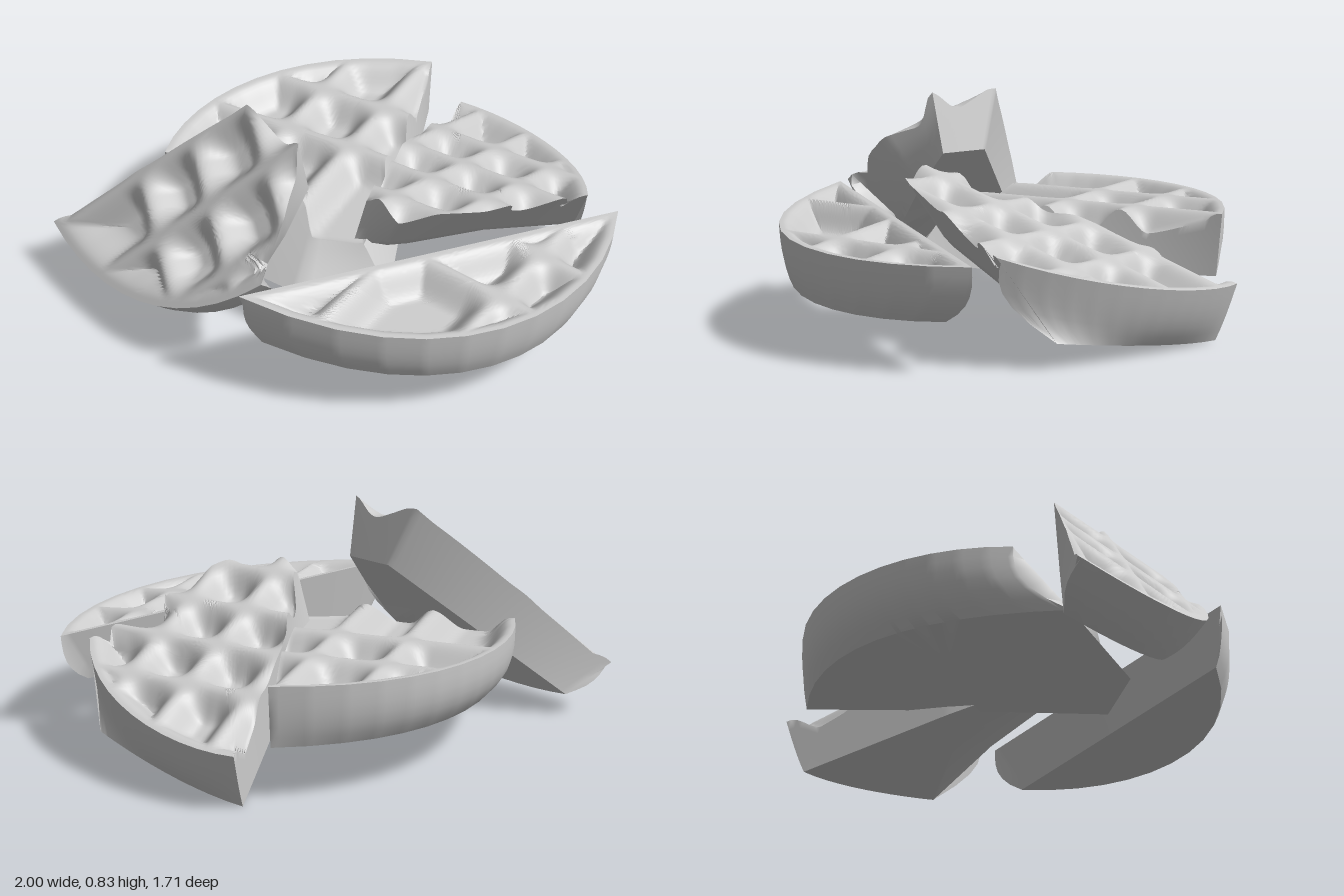
import * as THREE from 'three';
import { toCreasedNormals } from 'three/addons/utils/BufferGeometryUtils.js';

const { smoothstep, lerp, clamp } = THREE.MathUtils;
const material = new THREE.MeshStandardMaterial({ color: 0xcccccc });
const WELL = 0.095; // depth of the cells

function distToSegment(p, a, b) {
  const d = b.clone().sub(a);
  const t = clamp(p.clone().sub(a).dot(d) / d.lengthSq(), 0, 1);
  return p.distanceTo(a.clone().addScaledVector(d, t));
}

// Outline seen from above, clockwise: straight broken edges, then the curved rim.
// breaks: [top x, top z, underside x, underside z]; taper draws the underside of the rim inwards
function makeOutline({ breaks, rim, taper, ledge }, mid) {
  const points = breaks.map(([x, z, lx, lz], i) => {
    const isRim = i === breaks.length - 1;
    return { p: new THREE.Vector2(x, z), low: new THREE.Vector2(lx, lz), isRim, hasMargin: ledge || isRim };
  });
  const first = points[0], last = points.at(-1);
  const [c1, c2] = rim.map((r) => new THREE.Vector2(...r));
  const top = new THREE.CubicBezierCurve(last.p, c1, c2, first.p).getPoints(12);
  const low = new THREE.CubicBezierCurve(
    last.low, c1.clone().lerp(mid, taper), c2.clone().lerp(mid, taper), first.low).getPoints(12);
  const arc = top.map((p, i) => ({ p, low: low[i], isRim: true, hasMargin: true }));
  return points.concat(arc.slice(1, -1));
}

// plane: [a, b, c] for y = a + b x + c z; grid: origin, direction and ridge positions
function wafflePiece({ name, plane: [a, b, c], thickness, centre, grid, ...shape }) {
  const mid = new THREE.Vector2(...centre);
  const outline = makeOutline(shape, mid);
  const normal = new THREE.Vector3(-b, 1, -c).normalize();
  const onPlane = (p) => new THREE.Vector3(p.x, a + b * p.x + c * p.y, p.y);
  const sink = (p, d) => onPlane(p).addScaledVector(normal, -d);
  const [dx, dz] = grid.dir;
  const uAxis = new THREE.Vector3(dx, b * dx + c * dz, dz).normalize();
  const vAxis = uAxis.clone().cross(normal);
  const origin = onPlane(new THREE.Vector2(...grid.origin));

  // Cells fall away from ridges and rim with rounded shoulders
  const depth = (p) => {
    const q = onPlane(p).sub(origin);
    const u = q.dot(uAxis), v = q.dot(vAxis);
    let s = 1;
    for (const k of grid.us) s *= smoothstep(Math.abs(u - k), 0, 0.11);
    for (const k of grid.vs) s *= smoothstep(Math.abs(v - k), 0, 0.11);
    outline.forEach((e, i) => {
      if (!e.hasMargin) return;
      const d = distToSegment(p, e.p, outline[(i + 1) % outline.length].p);
      s = Math.min(s, smoothstep(d, 0.015, 0.13));
    });
    return WELL * s;
  };

  // Sampled boundary: at(h) gives the wall position from top (0) to underside (1)
  const edge = outline.flatMap(({ p, low, isRim }, i) => {
    const next = outline[(i + 1) % outline.length];
    const n = Math.ceil(p.distanceTo(next.p) / 0.02);
    return Array.from({ length: n }, (_, k) => {
      const upper = p.clone().lerp(next.p, k / n);
      const lower = low.clone().lerp(next.low, k / n);
      const at = (h) => upper.clone().lerp(lower, isRim ? h ** 3 : h);
      let h = 0;
      for (let it = 0; it < 4; it++) h = (h + depth(at(h)) / thickness) / 2;
      return { at, h };
    });
  });

  // Rings: top from the centre out, down the wall, then to the centre of the underside
  const rings = [], TOP = 36, WALL = 6;
  for (let r = 0; r <= TOP; r++) {
    rings.push(edge.map(({ at, h }) => {
      const p = mid.clone().lerp(at(h), r / TOP);
      return sink(p, r === TOP ? h * thickness : depth(p));
    }));
  }
  for (let r = 1; r <= WALL; r++) {
    rings.push(edge.map(({ at, h }) => {
      const t = lerp(h, 1, r / WALL);
      return sink(at(t), t * thickness);
    }));
  }
  rings.push(edge.map(() => sink(mid, thickness)));

  const pos = [];
  const add = (...vs) => vs.forEach((v) => pos.push(v.x, v.y, v.z));
  for (let r = 0; r < rings.length - 1; r++) {
    const p = rings[r], q = rings[r + 1];
    for (let j = 0; j < edge.length; j++) {
      const k = (j + 1) % edge.length;
      if (r < rings.length - 2) add(p[j], q[k], q[j]);
      if (r > 0) add(p[j], p[k], q[k]);
    }
  }
  const geometry = new THREE.BufferGeometry();
  geometry.setAttribute('position', new THREE.Float32BufferAttribute(pos, 3));
  const mesh = new THREE.Mesh(toCreasedNormals(geometry, 0.85), material);
  mesh.name = name;
  return mesh;
}

export function createModel() {
  const group = new THREE.Group();
  group.name = 'brokenWaffle';

  // Large flat piece at the back right
  group.add(wafflePiece({
    name: 'largePiece', plane: [0.43, 0, 0], thickness: 0.23, centre: [-0.28, -0.1],
    grid: { origin: [0, 0], dir: [1, 0], us: [-0.36, -0.09], vs: [-0.39, -0.11] },
    breaks: [[-0.06, -0.76, -0.06, -0.74], [0.06, -0.22, 0.1, -0.25], [0.11, 0.26, 0.32, 0.34],
      [0, 0.26, 0.02, 0.5], [-0.68, 0.26, -0.6, 0.44]],
    rim: [[-0.8, -0.1], [-0.62, -0.6]], taper: 0.15, ledge: false,
  }));

  // Quarter leaning on the large piece
  group.add(wafflePiece({
    name: 'leaningPiece', plane: [0.48, 0, 0.325], thickness: 0.23, centre: [0.28, -0.32],
    grid: { origin: [0.3, -0.27], dir: [1, 0.1], us: [-0.23, 0.02, 0.26], vs: [-0.25, 0, 0.24, 0.5] },
    breaks: [[0.81, -0.32, 0.7, -0.56], [0.67, -0.08, 0.46, -0.24], [0.52, 0.2, 0.3, 0.08],
      [0.38, 0.35, 0.25, 0.15], [0.2, 0.27, 0.14, 0.2], [0.07, -0.25, 0.07, -0.29],
      [0.03, -0.86, 0.03, -0.85]],
    rim: [[0.3, -0.86], [0.68, -0.64]], taper: 0.12, ledge: false,
  }));

  // Long segment at the front left, broken along a flat ledge
  group.add(wafflePiece({
    name: 'rimPiece', plane: [0.44, -0.08, 0], thickness: 0.21, centre: [0.66, 0.33],
    grid: { origin: [0.74, 0.35], dir: [1, 0.1], us: [-0.4, 0.02], vs: [-0.28, 0] },
    breaks: [[0, 0.85, 0.08, 0.81], [0.94, -0.3, 0.91, -0.17]],
    rim: [[1.14, 0.26], [0.8, 0.87]], taper: 0.14, ledge: true,
  }));

  // Steeply tilted piece at the front right
  group.add(wafflePiece({
    name: 'tiltedPiece', plane: [1.258, 0.469, -1.053], thickness: 0.19, centre: [-0.3, 0.59],
    grid: { origin: [-0.3, 0.56], dir: [0.18, -0.08], us: [-0.26, 0, 0.28], vs: [-0.28, 0, 0.28] },
    breaks: [[-1, 0.57, -0.9, 0.61], [-0.28, 0.3, -0.23, 0.42], [0, 0.42, -0.05, 0.5],
      [0.05, 0.61, -0.08, 0.62], [0.05, 0.78, -0.15, 0.76]],
    rim: [[-0.25, 0.9], [-0.65, 0.8]], taper: 0.08, ledge: false,
  }));
  return group;
}
